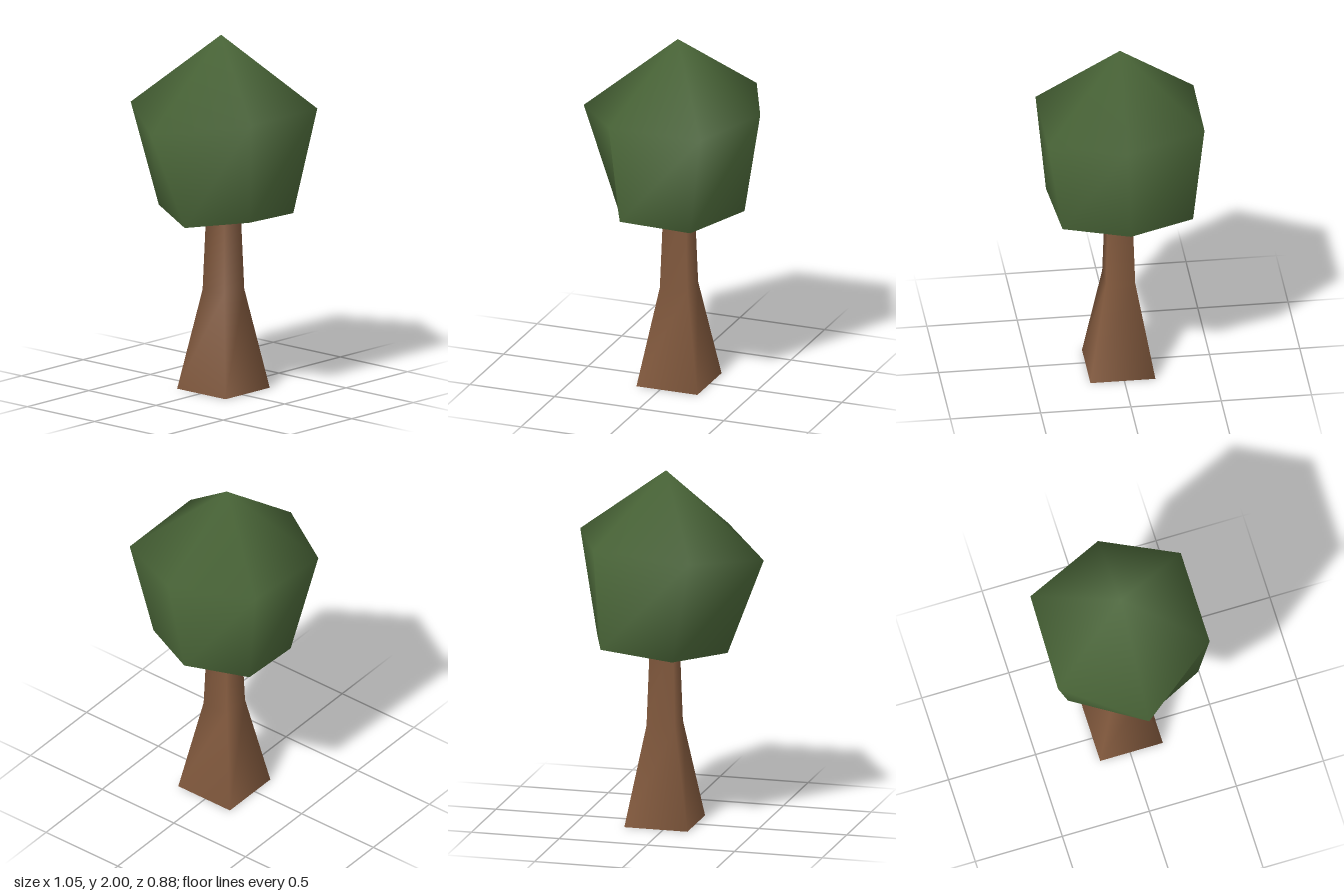
import * as THREE from 'three';

// Lofts a smooth skin through rings of [x, y, z] points, listed bottom to top and
// counter-clockwise from above. A one-point ring closes the skin as a tip.
function loft(rings) {
  const points = [], index = [];
  const n = rings[0].length;
  const starts = rings.map((ring) => {
    const start = points.length;
    points.push(...ring);
    return start;
  });
  for (let r = 0; r + 1 < rings.length; r++) {
    const tip = rings[r + 1].length === 1;
    for (let i = 0; i < n; i++) {
      const j = (i + 1) % n;
      const a = starts[r] + i, b = starts[r] + j;
      const c = starts[r + 1] + (tip ? 0 : j), d = starts[r + 1] + i;
      index.push(a, b, c);
      if (!tip) index.push(a, c, d);
    }
  }
  // underside with its own corners, so its rim stays sharp
  const base = points.length;
  points.push(...rings[0]);
  for (let i = 1; i + 1 < n; i++) index.push(base, base + i + 1, base + i);

  const geometry = new THREE.BufferGeometry();
  geometry.setAttribute('position', new THREE.Float32BufferAttribute(points.flat(), 3));
  geometry.setIndex(index);
  geometry.computeVertexNormals();
  return geometry;
}

// Square ring around the trunk axis
function square(y, half) {
  const corners = [[1, 1], [1, -1], [-1, -1], [-1, 1]];
  return corners.map(([x, z]) => [0.04 + x * half, y, 0.008 + z * half]);
}

export function createModel() {
  const bark = new THREE.MeshStandardMaterial({ color: 0x835a3e });
  bark.name = 'bark brown';
  const leaf = new THREE.MeshStandardMaterial({ color: 0x4a6638 });
  leaf.name = 'leaf green';

  // Four-sided trunk with a flared foot; its top sits inside the crown
  const trunk = new THREE.Mesh(
    loft([square(0, 0.18), square(0.56, 0.081), square(1.1, 0.064)]), bark);
  trunk.name = 'trunk';

  // Irregular six-sided crown: right, back right, back left, left, front left, front right
  const lower = [
    [0.42, 1.04, -0.01], [0.30, 1.055, -0.37], [-0.10, 1.005, -0.345],
    [-0.31, 0.975, 0.04], [-0.16, 1.035, 0.385], [0.24, 1.01, 0.345],
  ];
  const upper = [
    [0.525, 1.63, 0.02], [0.325, 1.63, -0.43], [-0.225, 1.595, -0.44],
    [-0.53, 1.53, -0.01], [-0.205, 1.6, 0.437], [0.335, 1.6, 0.437],
  ];
  const crown = new THREE.Mesh(loft([lower, upper, [[0.03, 2, 0]]]), leaf);
  crown.name = 'crown';

  const tree = new THREE.Group();
  tree.name = 'tree';
  tree.add(trunk, crown);
  return tree;
}
